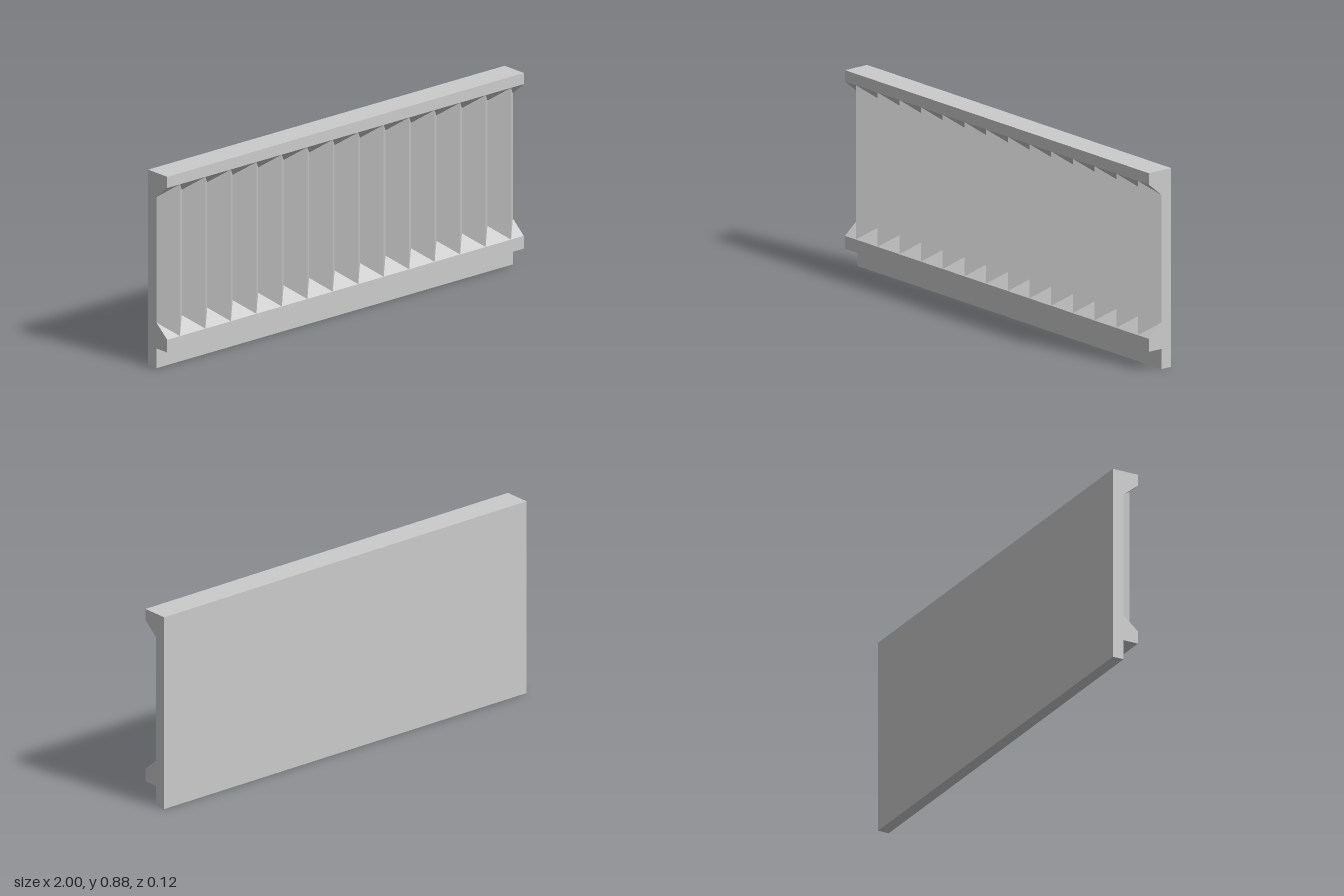
import * as THREE from 'three';

const WIDTH = 2;
const RIDGES = 14;
const FRONT = 0.061; // front plane of the rails and ridge crests
const INNER = -0.009; // plane of the recessed panel

export function createModel() {
  const group = new THREE.Group();
  const material = new THREE.MeshStandardMaterial({ color: 0xcccccc, flatShading: true });

  // Frame: side section (z, y) with bevelled recess and a step at the foot
  const section = new THREE.Shape([
    [-FRONT, 0], [INNER, 0], [INNER, 0.089], [FRONT, 0.089], [FRONT, 0.146],
    [INNER, 0.205], [INNER, 0.766], [FRONT, 0.825], [FRONT, 0.875], [-FRONT, 0.875],
  ].map(([z, y]) => new THREE.Vector2(z, y)));
  const frameGeometry = new THREE.ExtrudeGeometry(section, { depth: WIDTH, bevelEnabled: false });
  frameGeometry.rotateY(-Math.PI / 2).translate(WIDTH / 2, 0, 0);
  const frame = new THREE.Mesh(frameGeometry, material);
  frame.name = 'panelFrame';
  group.add(frame);

  // Ridges: a zigzag sheet whose crests run out to the ends of the bevels
  const positions = [];
  const indices = [];
  for (let i = 0; i <= RIDGES * 2; i++) {
    const x = -WIDTH / 2 + (i * WIDTH) / (RIDGES * 2);
    const crest = i % 2 === 1;
    const z = crest ? FRONT : INNER;
    positions.push(x, crest ? 0.146 : 0.205, z, x, crest ? 0.825 : 0.766, z);
    if (i > 0) {
      const a = (i - 1) * 2;
      indices.push(a, a + 2, a + 3, a, a + 3, a + 1);
    }
  }
  const ridgeGeometry = new THREE.BufferGeometry();
  ridgeGeometry.setAttribute('position', new THREE.Float32BufferAttribute(positions, 3));
  ridgeGeometry.setIndex(indices);
  const ridgeSheet = ridgeGeometry.toNonIndexed();
  ridgeSheet.computeVertexNormals();
  const ridges = new THREE.Mesh(ridgeSheet, material.clone());
  ridges.material.side = THREE.DoubleSide;
  ridges.name = 'verticalRidges';
  group.add(ridges);

  return group;
}
